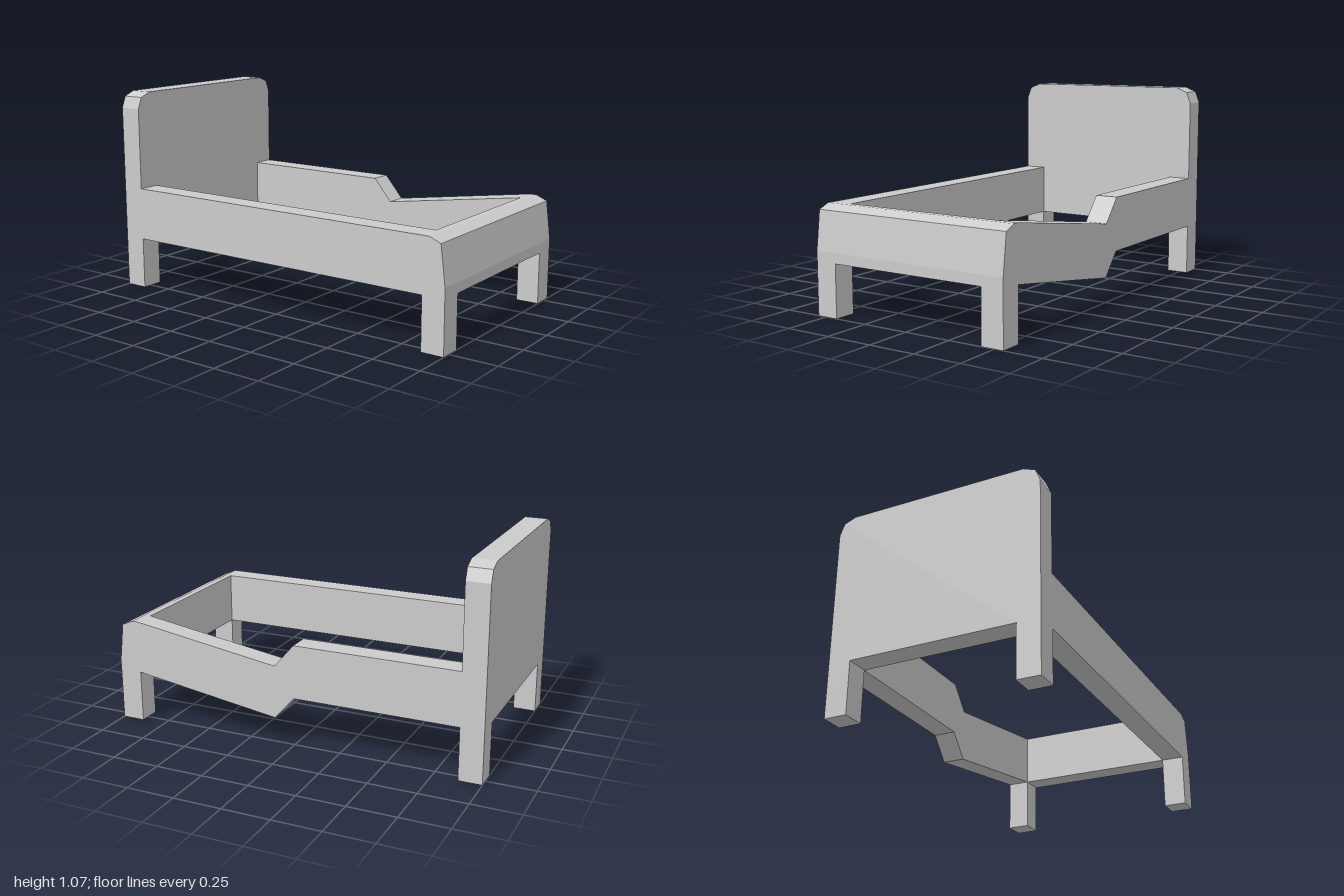
import * as THREE from 'three';

const HALF_WIDTH = 0.548, INNER_X = 0.43; // outer and inner side of the frame
const BACK = -1, FRONT = 1, THICK = 0.12;
const UNDER = 0.272, RAIL_TOP = 0.55;     // underside and top of the rails

const material = new THREE.MeshStandardMaterial({ color: 0xcccccc, flatShading: true });

const makeShape = (points) => new THREE.Shape(points.map(([x, y]) => new THREE.Vector2(x, y)));

function addMesh(parent, name, geometry) {
  const mesh = new THREE.Mesh(geometry, material);
  mesh.name = name;
  parent.add(mesh);
  return mesh;
}

// Extrudes a (z, y) side profile across x from x0 to x1
function sideExtrude(points, x0, x1) {
  const geometry = new THREE.ExtrudeGeometry(makeShape(points), { depth: x1 - x0, bevelEnabled: false });
  geometry.rotateY(-Math.PI / 2);
  geometry.translate(x1, 0, 0);
  return geometry;
}

export function createModel() {
  const bed = new THREE.Group();
  bed.name = 'bedFrame';

  // Headboard with chamfered upper corners and its two legs, cut as one panel
  const half = [
    [INNER_X, UNDER], [INNER_X, 0], [HALF_WIDTH, 0],
    [HALF_WIDTH, 0.98], [0.524, 1.04], [0.463, 1.065],
  ];
  const outline = [...half, ...half.map(([x, y]) => [-x, y]).reverse()];
  const headboard = new THREE.ExtrudeGeometry(makeShape(outline), { depth: THICK, bevelEnabled: false });
  headboard.translate(0, 0, BACK);
  addMesh(bed, 'headboard', headboard);

  // Footboard with a sloping, chamfered front
  const inner = FRONT - THICK;
  addMesh(bed, 'footboard', sideExtrude([
    [inner, UNDER], [FRONT, UNDER], [FRONT, 0.325],
    [0.975, 0.525], [0.915, RAIL_TOP], [inner, RAIL_TOP],
  ], -HALF_WIDTH, HALF_WIDTH));

  // Front legs
  const legWidth = HALF_WIDTH - INNER_X;
  for (const side of [-1, 1]) {
    const leg = addMesh(bed, side > 0 ? 'frontLegLeft' : 'frontLegRight',
      new THREE.BoxGeometry(legWidth, UNDER, THICK));
    leg.position.set(side * (HALF_WIDTH + INNER_X) / 2, UNDER / 2, FRONT - THICK / 2);
  }

  // Straight side rail
  const outer = BACK + THICK;
  addMesh(bed, 'straightRail', sideExtrude([
    [outer, UNDER], [inner, UNDER], [inner, RAIL_TOP], [outer, RAIL_TOP],
  ], -HALF_WIDTH, -INNER_X));

  // Side rail that dips down for getting in
  addMesh(bed, 'dippedRail', sideExtrude([
    [outer, UNDER], [-0.02, UNDER], [0.085, 0.152], [inner, UNDER],
    [inner, RAIL_TOP], [0.085, 0.428], [-0.02, RAIL_TOP], [outer, RAIL_TOP],
  ], INNER_X, HALF_WIDTH));

  return bed;
}
